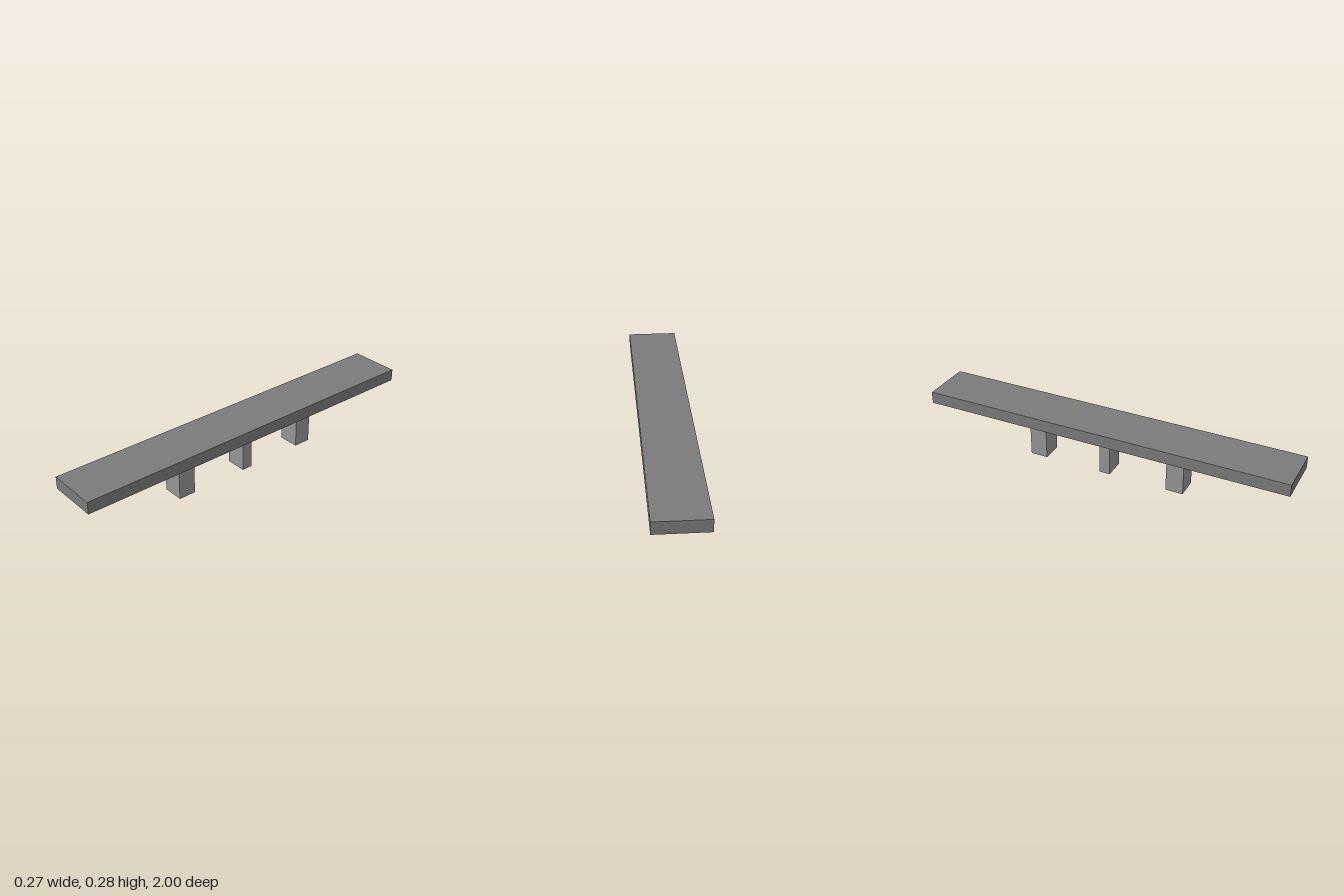
import * as THREE from 'three';

export function createModel() {
  const group = new THREE.Group();
  const seatMaterial = new THREE.MeshStandardMaterial({ color: 0x7a7a7a, flatShading: true });
  const legMaterial = new THREE.MeshStandardMaterial({ color: 0x949494, flatShading: true });

  // Box standing on the given base height
  function addBox(name, material, width, height, depth, baseY, z) {
    const mesh = new THREE.Mesh(new THREE.BoxGeometry(width, height, depth), material);
    mesh.name = name;
    mesh.position.set(0, baseY + height / 2, z);
    group.add(mesh);
  }

  const legHeight = 0.21;
  const legWidth = 0.113;

  // Long flat seat slab
  addBox('seat', seatMaterial, 0.27, 0.065, 2, legHeight, 0);

  // Thin middle leg and a thicker leg towards each end
  addBox('middleLeg', legMaterial, legWidth, legHeight, 0.058, 0, 0);
  for (const side of [1, -1]) {
    addBox(side > 0 ? 'frontLeg' : 'backLeg', legMaterial, legWidth, legHeight, 0.094, 0, side * 0.391);
  }

  return group;
}
